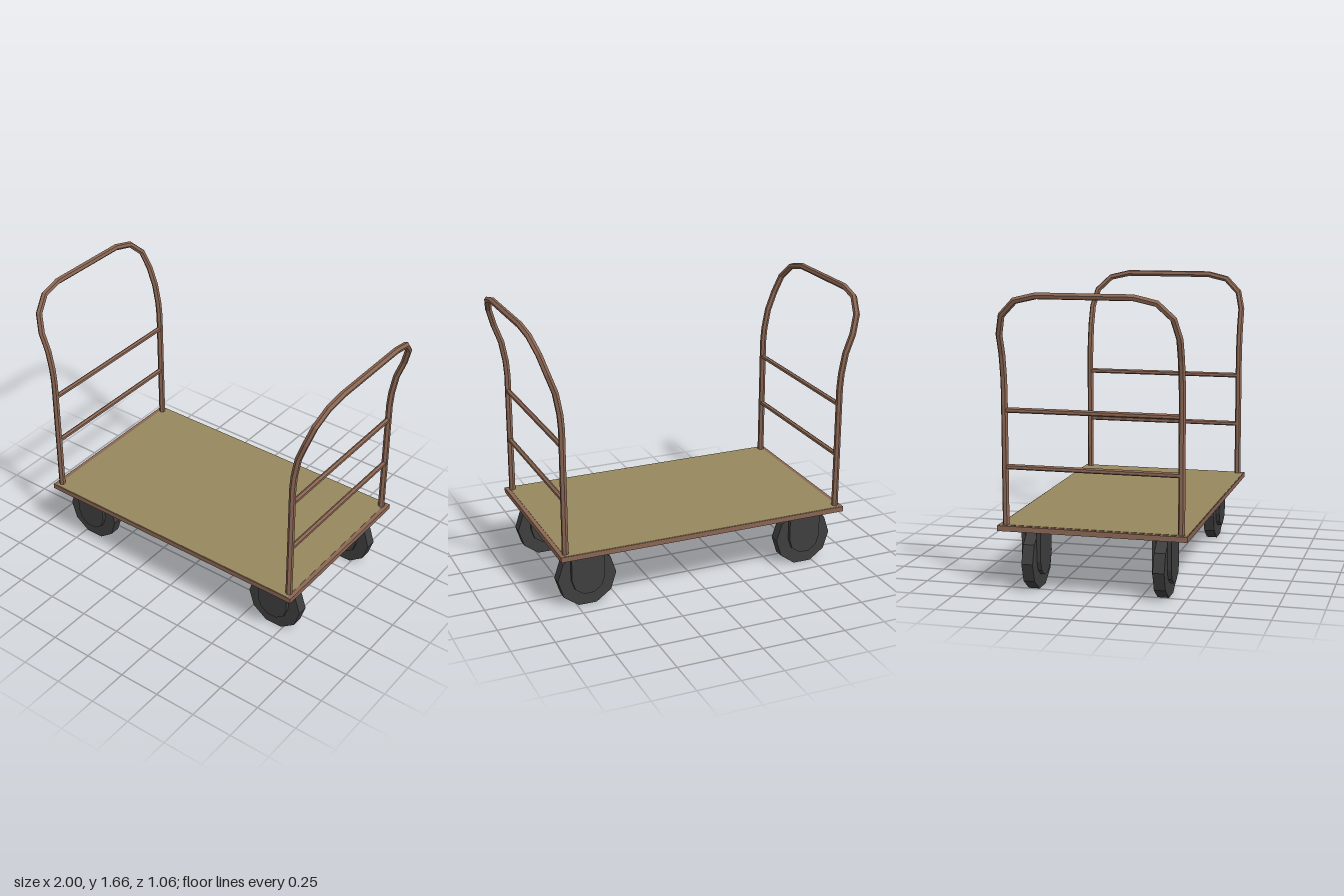
import * as THREE from 'three';

// Straight-segment path whose joints are sampled exactly by TubeGeometry
class Polyline extends THREE.Curve {
  constructor(points) {
    super();
    this.points = points;
  }
  getPoint(t, target = new THREE.Vector3()) {
    const f = t * (this.points.length - 1);
    const i = Math.min(Math.floor(f + 1e-6), this.points.length - 2);
    return target.lerpVectors(this.points[i], this.points[i + 1], f - i);
  }
  getPointAt(u, target) {
    return this.getPoint(u, target);
  }
  getTangentAt(u, target = new THREE.Vector3()) {
    const p = this.points, n = p.length - 1;
    const i = Math.round(u * n);
    target.set(0, 0, 0);
    if (i > 0) target.add(p[i].clone().sub(p[i - 1]).normalize());
    if (i < n) target.add(p[i + 1].clone().sub(p[i]).normalize());
    return target.normalize();
  }
}

export function createModel() {
  const material = (name, color) => {
    const m = new THREE.MeshStandardMaterial({ color, flatShading: true });
    m.name = name;
    return m;
  };
  const brown = material('brown frame', 0x8a6653);
  const tan = material('tan board', 0x96895f);
  const dark = material('dark rubber', 0x3e3e3e);

  const root = new THREE.Group();
  root.name = 'platformTrolley';
  const add = (parent, name, geometry, mat, x = 0, y = 0, z = 0) => {
    const mesh = new THREE.Mesh(geometry, mat);
    mesh.name = name;
    mesh.position.set(x, y, z);
    parent.add(mesh);
    return mesh;
  };

  // Deck: brown rim, tan underside, thin tan board on top
  add(root, 'deck', new THREE.BoxGeometry(1.76, 0.03, 1.06),
    [brown, brown, brown, tan, brown, brown], 0, 0.365, 0);
  add(root, 'deckBoard', new THREE.BoxGeometry(1.71, 0.003, 1.052), tan, 0, 0.3805, 0);

  // Push handles: half of the hoop as [x, y, z], mirrored across z
  const half = [
    [0.843, 0.37, 0.49], [0.843, 1.11, 0.49], [0.85, 1.2, 0.49], [0.872, 1.32, 0.49],
    [0.913, 1.43, 0.49], [0.947, 1.535, 0.464], [0.972, 1.615, 0.382], [0.981, 1.643, 0.262],
  ];
  const hoop = [...half, ...half.map(([x, y, z]) => [x, y, -z]).reverse()];
  for (const side of [-1, 1]) {
    const handle = new THREE.Group();
    handle.name = side > 0 ? 'leftHandle' : 'rightHandle';
    root.add(handle);
    const path = new Polyline(hoop.map(([x, y, z]) => new THREE.Vector3(side * x, y, z)));
    add(handle, 'hoop', new THREE.TubeGeometry(path, hoop.length - 1, 0.019, 6), brown);
    for (const y of [0.703, 1.014]) {
      const rung = new THREE.CylinderGeometry(0.015, 0.015, 0.97, 6).rotateX(Math.PI / 2);
      add(handle, 'rung', rung, brown, side * 0.843, y, 0);
    }
  }

  // Casters: ten-sided wheel between two round-ended fork plates
  const wheelGeometry = new THREE.CylinderGeometry(0.175, 0.175, 0.064, 10, 1, false, Math.PI / 2)
    .rotateX(Math.PI / 2);
  const outline = new THREE.Shape();
  outline.moveTo(0.098, 0.185);
  outline.lineTo(-0.098, 0.185);
  for (let i = 0; i <= 5; i++) {
    const a = Math.PI * (1 + i / 5);
    outline.lineTo(0.098 * Math.cos(a), 0.095 * Math.sin(a));
  }
  outline.closePath();
  const forkGeometry = new THREE.ExtrudeGeometry(outline, { depth: 0.022, bevelEnabled: false })
    .translate(0, 0, -0.011);

  for (const sx of [-1, 1]) {
    for (const sz of [-1, 1]) {
      const caster = new THREE.Group();
      caster.name = 'caster';
      caster.position.set(sx * 0.686, 0.1665, sz * 0.368);
      root.add(caster);
      add(caster, 'wheel', wheelGeometry, dark);
      for (const s of [-1, 1]) add(caster, 'forkPlate', forkGeometry, dark, 0, 0, s * 0.043);
    }
  }
  return root;
}
